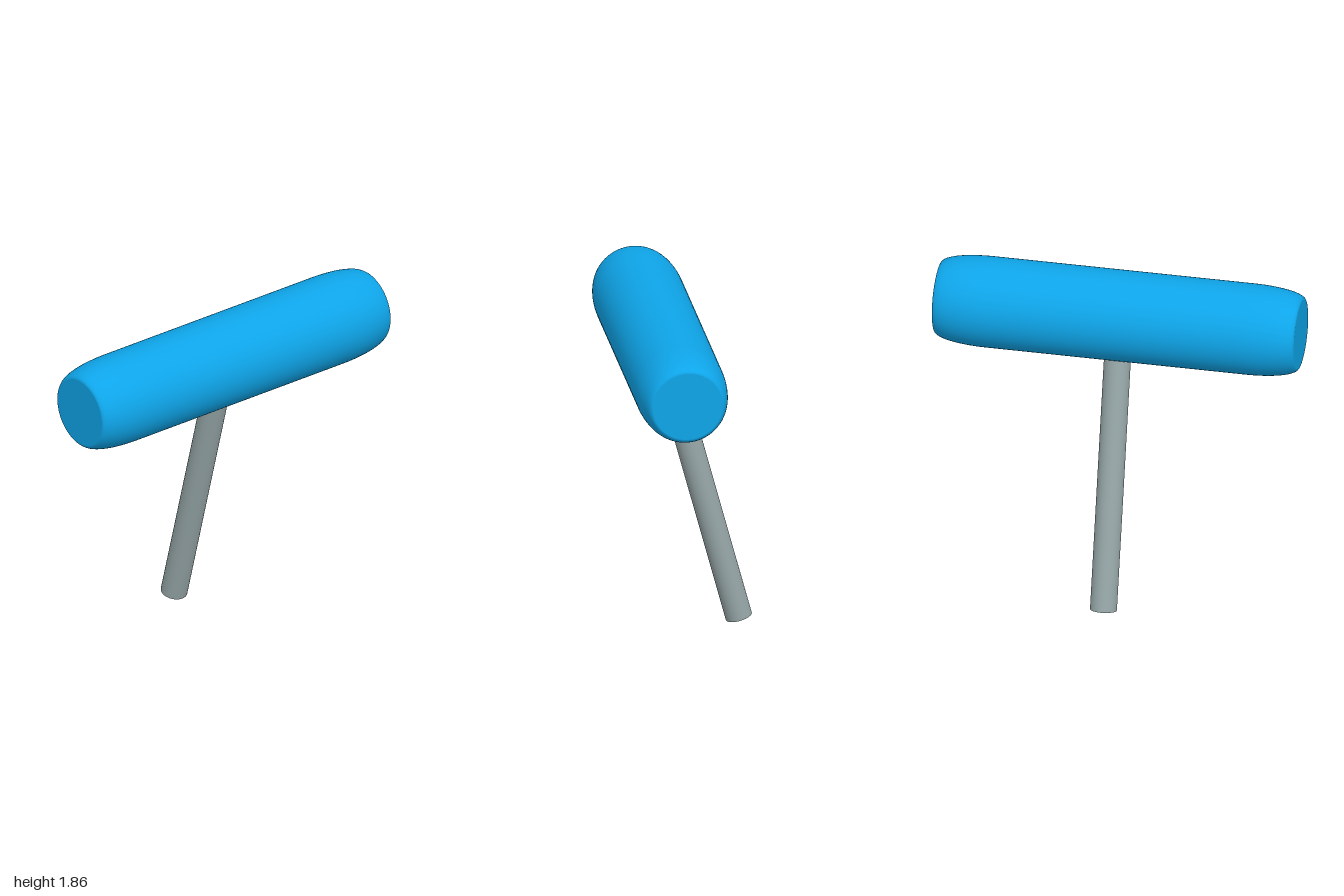
import * as THREE from 'three';

const RADIUS = 0.248, END_RADIUS = 0.19, HALF = 1, ROUND_START = 0.72;
const TILT = THREE.MathUtils.degToRad(15);

export function createModel() {
  const model = new THREE.Group();
  model.name = 'mallet';
  const blue = new THREE.MeshStandardMaterial({ color: 0x0ea5e9 });
  const grey = new THREE.MeshStandardMaterial({ color: 0x95a5a6 });

  // Head: a horizontal cylinder whose ends taper in along an elliptical curve
  const head = new THREE.Group();
  head.name = 'head';
  const end = [];
  for (let i = 0; i <= 16; i++) {
    const a = (i / 16) * Math.PI / 2;
    end.push(new THREE.Vector2(
      END_RADIUS + (RADIUS - END_RADIUS) * Math.cos(a),
      ROUND_START + (HALF - ROUND_START) * Math.sin(a)));
  }
  const profile = [...end.map(p => new THREE.Vector2(p.x, -p.y)).reverse(), ...end];
  const barrel = new THREE.Mesh(new THREE.LatheGeometry(profile, 64), blue);
  barrel.name = 'headBarrel';
  barrel.rotation.z = -Math.PI / 2;
  head.add(barrel);

  // Flat striking faces
  for (const side of [-1, 1]) {
    const face = new THREE.Mesh(new THREE.CircleGeometry(END_RADIUS, 64), blue);
    face.name = side > 0 ? 'leftFace' : 'rightFace';
    face.position.x = side * HALF;
    face.rotation.y = side * Math.PI / 2;
    head.add(face);
  }
  head.position.set(0, 1.608, 0.127);
  model.add(head);

  // Handle: a leaning rod from the ground into the middle of the head
  const r = 0.073, length = 1.645;
  const rod = new THREE.CylinderGeometry(r, r, length, 48);
  rod.translate(0, length / 2, 0);
  const handle = new THREE.Mesh(rod, grey);
  handle.name = 'handle';
  handle.rotation.x = TILT;
  handle.position.set(0, r * Math.sin(TILT), -0.304);
  model.add(handle);

  return model;
}
